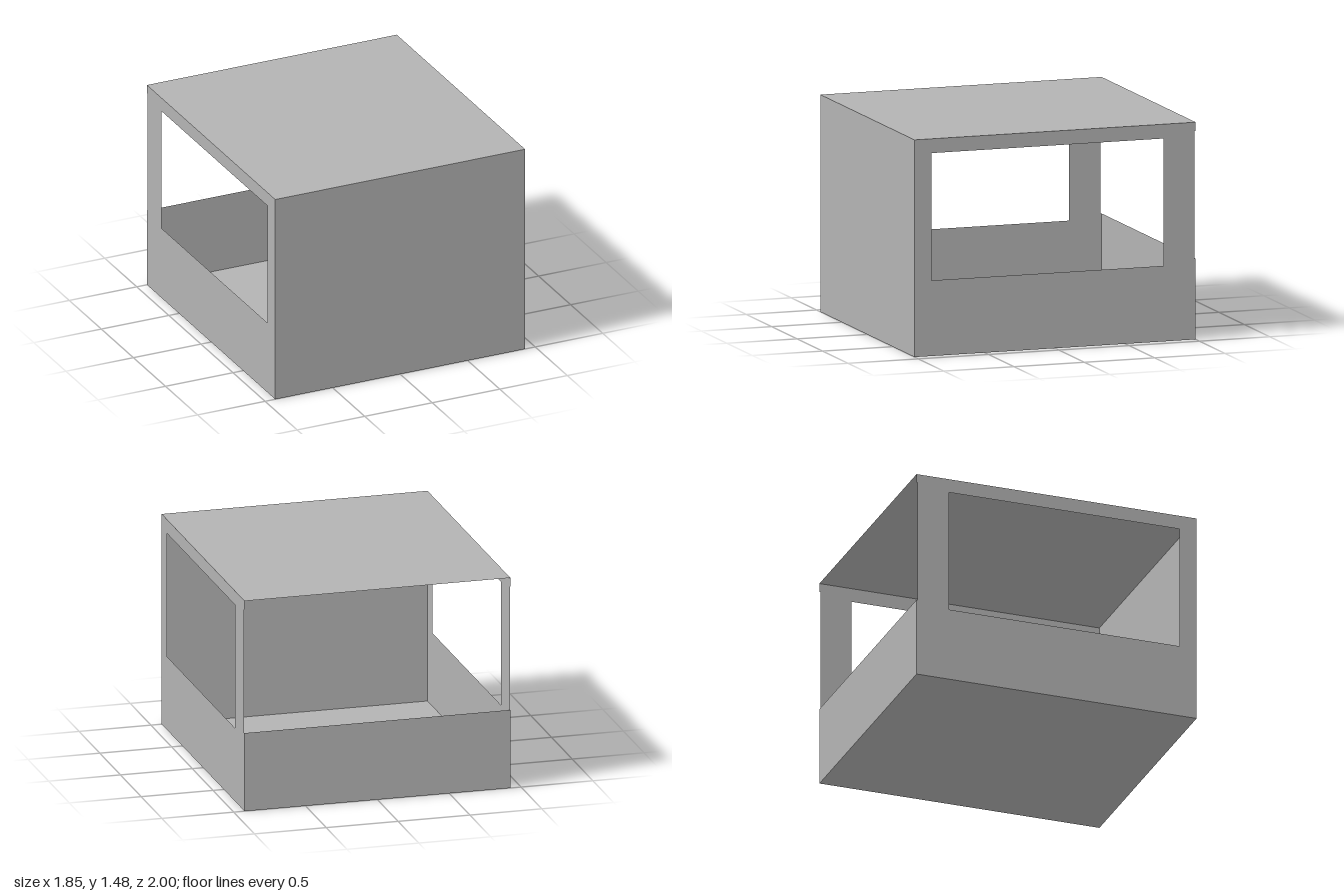
import * as THREE from 'three';

const W = 0.925; // half width
const D = 1; // half depth
const H = 1.475; // height
const BACK_H = 0.548; // height of the low back wall

export function createModel() {
  const model = new THREE.Group();
  model.name = 'openBox';
  const grey = new THREE.MeshStandardMaterial({ color: 0xb3b3b3, side: THREE.DoubleSide });
  grey.name = 'grey';

  // Thin flat sheets
  const sheet = (name, w, h, rx, ry, x, y, z) => {
    const mesh = new THREE.Mesh(new THREE.PlaneGeometry(w, h), grey);
    mesh.name = name;
    mesh.rotation.set(rx, ry, 0);
    mesh.position.set(x, y, z);
    model.add(mesh);
  };
  sheet('floor', 2 * W, 2 * D, Math.PI / 2, 0, 0, 0, 0);
  sheet('roof', 2 * W, 2 * D, -Math.PI / 2, 0, 0, H, 0);
  sheet('frontWall', 2 * W, H, 0, 0, 0, H / 2, D);
  sheet('backWall', 2 * W, BACK_H, 0, Math.PI, 0, BACK_H / 2, -D);

  // Side wall outline in (z, y), slightly set back along the rear opening
  const points = (list) => list.map(([z, y]) => new THREE.Vector2(z, y));
  const wall = new THREE.Shape(points([
    [-D, 0], [D, 0], [D, H], [-D, H],
    [-D, 1.415], [-0.992, 1.415], [-0.992, BACK_H], [-D, BACK_H],
  ]));
  // Window opening
  wall.holes.push(new THREE.Path(points([
    [-0.77, 0.513], [-0.77, 1.378], [0.877, 1.378], [0.877, 0.513],
  ])));
  const wallGeometry = new THREE.ShapeGeometry(wall);
  wallGeometry.rotateY(-Math.PI / 2).translate(-W, 0, 0);

  // Mirrored pair of side walls
  for (const [name, side] of [['rightWall', 1], ['leftWall', -1]]) {
    const mesh = new THREE.Mesh(wallGeometry, grey);
    mesh.name = name;
    mesh.scale.x = side;
    model.add(mesh);
  }
  return model;
}
